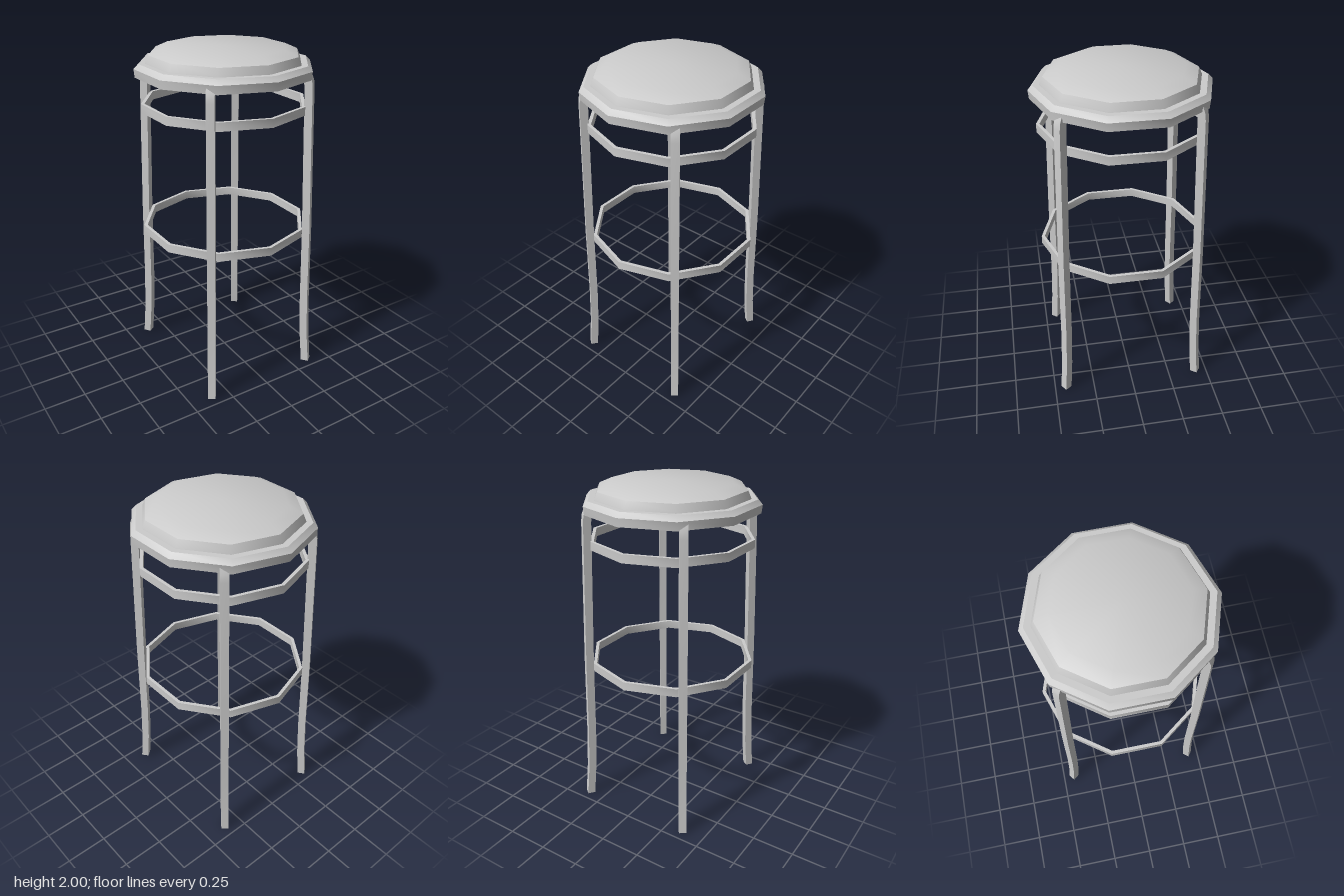
import * as THREE from 'three';
import { toCreasedNormals } from 'three/addons/utils/BufferGeometryUtils.js';

const SIDES = 10;
const material = new THREE.MeshStandardMaterial({ color: 0xcccccc });

// Ten-sided turned part, soft around the rim and sharp at profile corners
function turned(name, profile) {
  const points = profile.map(([r, y]) => new THREE.Vector2(r, y));
  const geometry = toCreasedNormals(new THREE.LatheGeometry(points, SIDES), 0.72);
  const mesh = new THREE.Mesh(geometry, material);
  mesh.name = name;
  return mesh;
}

// Flat hoop with a rectangular section
function hoop(name, radius, bottom, top) {
  const inner = radius - 0.02;
  return turned(name, [[inner, bottom], [radius, bottom], [radius, top], [inner, top], [inner, bottom]]);
}

// Square leg swept along a [radius, height] path: splayed foot, bent top
function legGeometry() {
  const path = [[0.557, 0], [0.54, 0.2], [0.529, 0.45], [0.519, 0.95], [0.492, 1.8], [0.487, 1.84], [0.468, 1.885]];
  const n = path.length - 1;
  const geometry = new THREE.BoxGeometry(0.046, n, 0.046, 1, n, 1);
  const pos = geometry.attributes.position;
  for (let i = 0; i < pos.count; i++) {
    const [r, y] = path[Math.round(pos.getY(i) + n / 2)];
    pos.setY(i, y);
    pos.setZ(i, pos.getZ(i) + r);
  }
  return toCreasedNormals(geometry, 0.5);
}

export function createModel() {
  const stool = new THREE.Group();
  stool.name = 'barStool';

  // Seat frame with a bevelled upper edge
  stool.add(turned('seatFrame', [[0, 1.845], [0.51, 1.845], [0.515, 1.893], [0.488, 1.92], [0, 1.92]]));

  // Padded cushion
  stool.add(turned('cushion', [[0.452, 1.915], [0.45, 1.925], [0.432, 1.965], [0.357, 1.998], [0, 2]]));

  // Bracing hoop under the seat and footrest hoop
  stool.add(hoop('upperHoop', 0.483, 1.645, 1.695));
  stool.add(hoop('footrestHoop', 0.5, 0.895, 0.945));

  // Four legs, mirrored left to right and front to back
  const leg = legGeometry();
  for (const base of [0, Math.PI]) {
    for (const side of [1, -1]) {
      const mesh = new THREE.Mesh(leg, material);
      mesh.name = (base ? 'back' : 'front') + ((side > 0) === (base === 0) ? 'Left' : 'Right') + 'Leg';
      const angle = base + side * THREE.MathUtils.degToRad(37);
      mesh.rotation.y = angle;
      // Set each leg a little beside the frame's corner
      mesh.position.set(Math.cos(angle), 0, -Math.sin(angle)).multiplyScalar(side * 0.028);
      stool.add(mesh);
    }
  }
  return stool;
}
